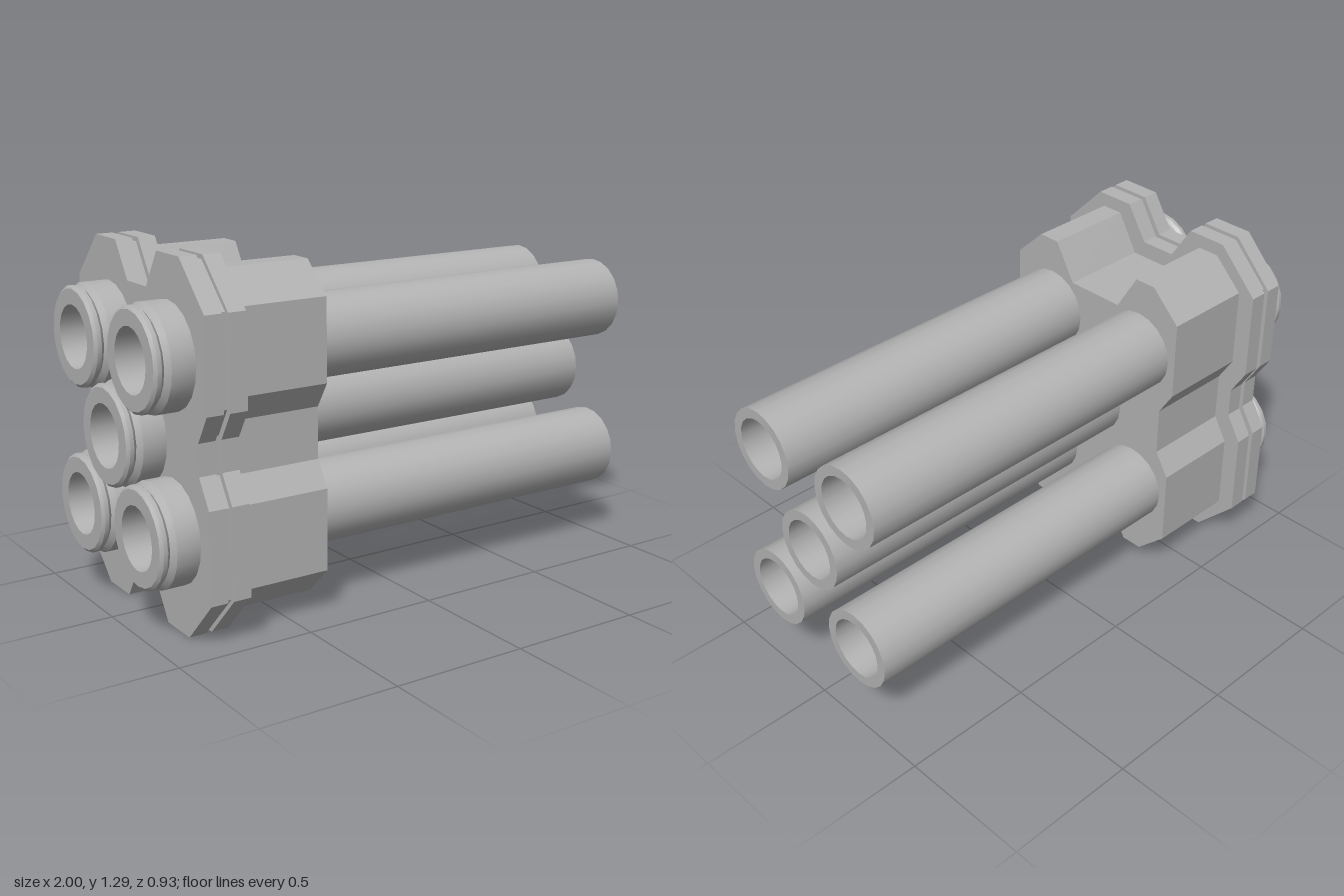
import * as THREE from 'three';
import { toCreasedNormals } from 'three/addons/utils/BufferGeometryUtils.js';

const MID_Y = 0.646;
// Tube centres as [z, y]
const CENTRES = [[-0.22, 0.355], [0.22, 0.355], [0, 0.655], [-0.22, 0.957], [0.22, 0.957]];
// One quarter of each outline as [z, height above the middle]
const FLANGE = [[0.07, 0.515], [0.153, 0.645], [0.307, 0.645], [0.466, 0.482], [0.466, 0.156], [0.405, 0.056]];
const BLOCK = [[0.115, 0.452], [0.2, 0.593], [0.284, 0.593], [0.4, 0.482], [0.4, 0.185], [0.343, 0.093]];

// Mirrors a quarter outline four ways, cuts the bores and extrudes along x
function plate(quarter, x0, x1) {
  const half = [...quarter, ...quarter.map(([z, y]) => [z, -y]).reverse()];
  const loop = [...half, ...half.map(([z, y]) => [-z, y]).reverse()];
  const shape = new THREE.Shape(loop.map(([z, y]) => new THREE.Vector2(z, y + MID_Y)));
  for (const [z, y] of CENTRES) {
    const hole = new THREE.Path();
    hole.absarc(z, y, 0.13, 0, Math.PI * 2, true);
    shape.holes.push(hole);
  }
  const geometry = new THREE.ExtrudeGeometry(shape, { depth: x1 - x0, bevelEnabled: false, curveSegments: 10 });
  return geometry.rotateY(Math.PI / 2).translate(x0, 0, 0);
}

export function createModel() {
  const group = new THREE.Group();
  const metal = new THREE.MeshStandardMaterial({ color: 0xb3b3b3 });
  metal.name = 'grey metal';

  const add = (name, geometry) => {
    const mesh = new THREE.Mesh(geometry, metal);
    mesh.name = name;
    group.add(mesh);
    return mesh;
  };

  // Main block and the two flange plates with a shallow groove between them
  const groove = FLANGE.map(([z, y], i) => [
    THREE.MathUtils.lerp(z, BLOCK[i][0], 0.3),
    THREE.MathUtils.lerp(y, BLOCK[i][1], 0.3),
  ]);
  add('mainBlock', plate(BLOCK, -0.71, -0.365));
  add('frontFlange', plate(FLANGE, -0.775, -0.71));
  add('flangeGroove', plate(groove, -0.797, -0.775));
  add('rearFlange', plate(FLANGE, -0.86, -0.797));

  // Hollow tube with a grooved collar at the rear, as [radius, x]
  const profile = [
    [0.113, -1], [0.168, -1], [0.179, -0.99], [0.179, -0.975], [0.166, -0.962], [0.186, -0.945],
    [0.186, -0.85], [0.15, -0.85], [0.15, 1], [0.113, 1], [0.113, -1],
  ].map(([r, x]) => new THREE.Vector2(r, x));
  const tube = toCreasedNormals(new THREE.LatheGeometry(profile, 20).rotateZ(-Math.PI / 2), 0.5);
  CENTRES.forEach(([z, y], i) => add('tube' + (i + 1), tube).position.set(0, y, z));

  return group;
}
